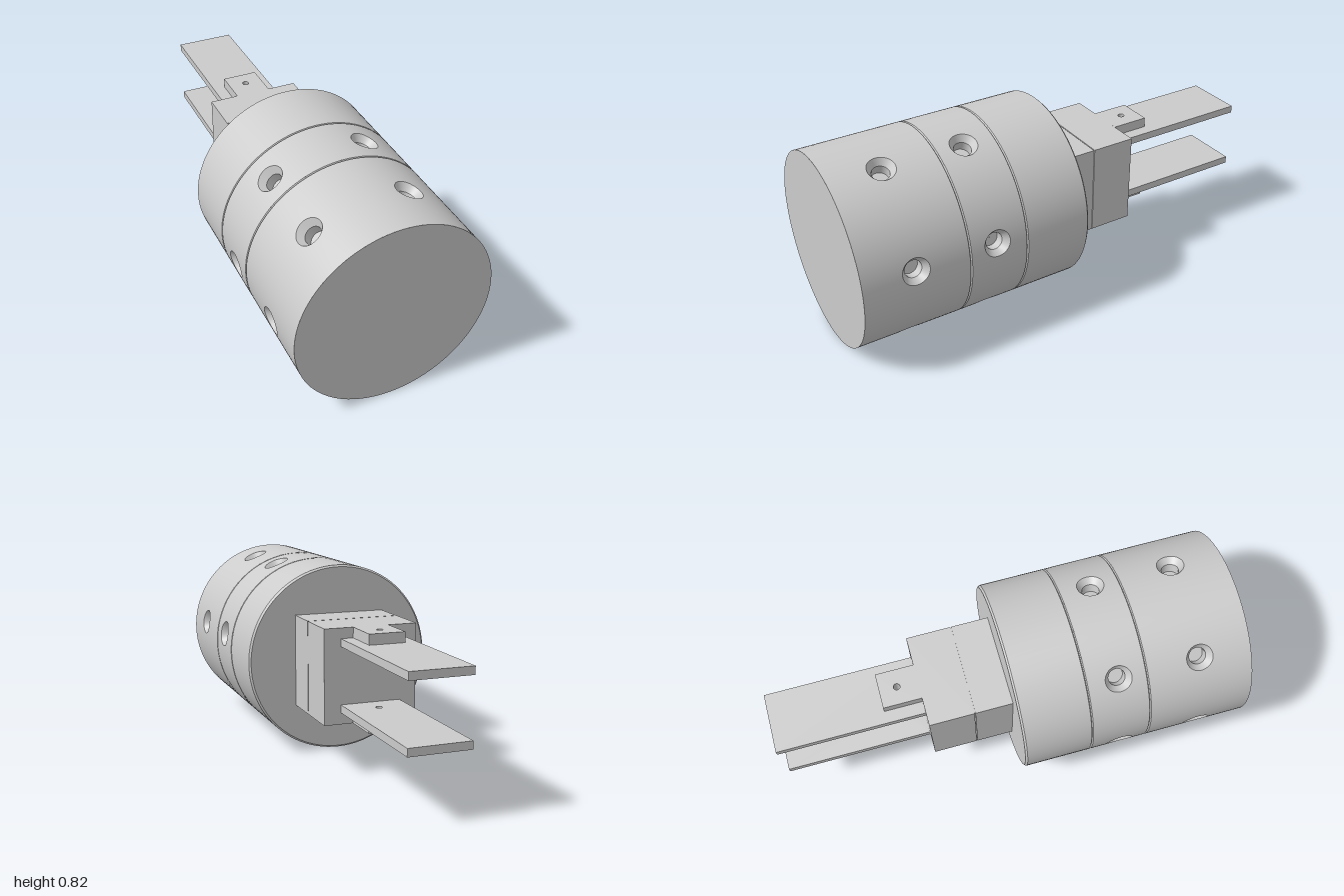
import * as THREE from 'three';
import { mergeGeometries, toCreasedNormals } from 'three/addons/utils/BufferGeometryUtils.js';

const R = 0.411;            // drum radius, also the height of its axis
const RIM = 0.057, BORE = 0.036;
const mat = new THREE.MeshStandardMaterial({ color: 0xcccccc });

function add(group, name, geometry, x = 0, y = 0, z = 0) {
  const mesh = new THREE.Mesh(geometry, mat);
  mesh.name = name;
  mesh.position.set(x, y, z);
  group.add(mesh);
  return mesh;
}

// Surface through closed rings of points, outermost ring first
function loft(rings) {
  const n = rings[0].length, pos = [], idx = [];
  rings.forEach(r => r.forEach(p => pos.push(p.x, p.y, p.z)));
  for (let i = 0; i < rings.length - 1; i++) {
    for (let j = 0; j < n; j++) {
      const a = i * n + j, b = i * n + (j + 1) % n;
      idx.push(a, b, a + n, b, b + n, a + n);
    }
  }
  const g = new THREE.BufferGeometry();
  g.setAttribute('position', new THREE.Float32BufferAttribute(pos, 3));
  g.setIndex(idx);
  g.computeVertexNormals();
  return g;
}

// Part turned about the z axis; profile points are [radius, z]
function turned(profile) {
  const g = new THREE.LatheGeometry(profile.map(p => new THREE.Vector2(...p)), 96);
  g.rotateX(Math.PI / 2);
  return toCreasedNormals(g, 0.4);
}

// One 60 degree wall cell with a countersunk blind hole
function wallCell(angle, z0, z1, zHole) {
  const half = R * Math.PI / 6, steps = 20, outer = [];
  const corners = [[-half, z0], [half, z0], [half, z1], [-half, z1]];
  corners.forEach((c, k) => {
    const d = corners[(k + 1) % 4];
    for (let i = 0; i < steps; i++) {
      const t = i / steps;
      outer.push([c[0] + (d[0] - c[0]) * t, c[1] + (d[1] - c[1]) * t - zHole]);
    }
  });
  const onDrum = (u, w) =>
    new THREE.Vector3(R * Math.cos(angle + u / R), R * Math.sin(angle + u / R), zHole + w);
  const circle = r => outer.map(([u, w]) => {
    const l = Math.hypot(u, w);
    return [u / l * r, w / l * r];
  });
  const rim = circle(RIM);

  const rings = [];
  for (let k = 0; k <= 10; k++) {
    rings.push(outer.map(([u, w], j) =>
      onDrum(u + (rim[j][0] - u) * k / 10, w + (rim[j][1] - w) * k / 10)));
  }
  const wall = loft(rings);
  const p = wall.attributes.position, nrm = wall.attributes.normal;
  for (let i = 0; i < p.count; i++) nrm.setXYZ(i, p.getX(i) / R, p.getY(i) / R, 0);

  // Inside of the hole: countersink, bore, floor
  const c = Math.cos(angle), s = Math.sin(angle);
  const sunk = (r, depth) => circle(r).map(([u, w]) =>
    new THREE.Vector3(c * (R - depth) - s * u, s * (R - depth) + c * u, zHole + w));
  const lip = sunk(BORE, 0.03), base = sunk(BORE, 0.07);
  return {
    wall,
    hole: [loft([rings[10], lip]), loft([lip, base]), loft([base, sunk(0.0005, 0.07)])],
  };
}

function rect(x0, x1, z0, z1) {
  return new THREE.Shape([[x0, z0], [x1, z0], [x1, z1], [x0, z1]].map(p => new THREE.Vector2(...p)));
}

// Flat plate lying in xz, with a small pin hole at z = -0.45
function drilledPlate(halfWidth, zBack, thickness) {
  const shape = rect(-halfWidth, halfWidth, 0.36, -zBack);
  shape.holes.push(new THREE.Path().absarc(0, 0.45, 0.014, 0, Math.PI * 2, true));
  const g = new THREE.ExtrudeGeometry(shape, { depth: thickness, bevelEnabled: false, curveSegments: 16 });
  return g.rotateX(-Math.PI / 2);
}

export function createModel() {
  const model = new THREE.Group();

  // Drum
  const drum = new THREE.Group();
  drum.name = 'drum';
  drum.position.y = R;
  model.add(drum);
  add(drum, 'rearSection', turned([[0, 0], [R - 0.008, 0], [R, 0.008], [R, 0.291]]));
  for (const z of [0.295, 0.55]) {
    add(drum, 'seamGroove', turned([[R, z - 0.004], [R - 0.006, z], [R, z + 0.004]]));
  }
  add(drum, 'frontFace', turned([[R, 1], [0, 1]]));

  const bands = [['middleSection', 0.299, 0.546, 0.43], ['frontSection', 0.554, 1, 0.78]];
  for (const [name, z0, z1, zHole] of bands) {
    const walls = [], holes = [];
    for (let i = 0; i < 6; i++) {
      const cell = wallCell(THREE.MathUtils.degToRad(8.5 + 60 * i), z0, z1, zHole);
      walls.push(cell.wall);
      holes.push(...cell.hole);
    }
    add(drum, name, mergeGeometries(walls));
    add(drum, name + 'ScrewHoles', mergeGeometries(holes));
  }

  // Square mounting blocks behind the drum, with a fine joint between them
  const yMid = 0.413;
  add(model, 'mountBlock', new THREE.BoxGeometry(0.404, 0.4, 0.162), 0, yMid, -0.081);
  add(model, 'blockJoint', new THREE.BoxGeometry(0.396, 0.392, 0.01), 0, yMid, -0.164);
  add(model, 'clampBlock', new THREE.BoxGeometry(0.404, 0.4, 0.194), 0, yMid, -0.263);

  // Pins under the blocks
  for (const z of [-0.075, -0.265]) {
    add(model, 'pin', new THREE.CylinderGeometry(0.02, 0.02, 0.03, 24), 0, 0.203, z);
  }

  // Upper and lower blades, each held by a tab on its outer side
  add(model, 'upperBlade', drilledPlate(0.13, -1, 0.033), 0, 0.536, 0);
  add(model, 'upperTab', drilledPlate(0.077, -0.526, 0.044), 0, 0.569, 0);
  add(model, 'lowerBlade', drilledPlate(0.13, -1, 0.033), 0, 0.262, 0);
  add(model, 'lowerTab', drilledPlate(0.077, -0.526, 0.049), 0, 0.213, 0);

  return model;
}
